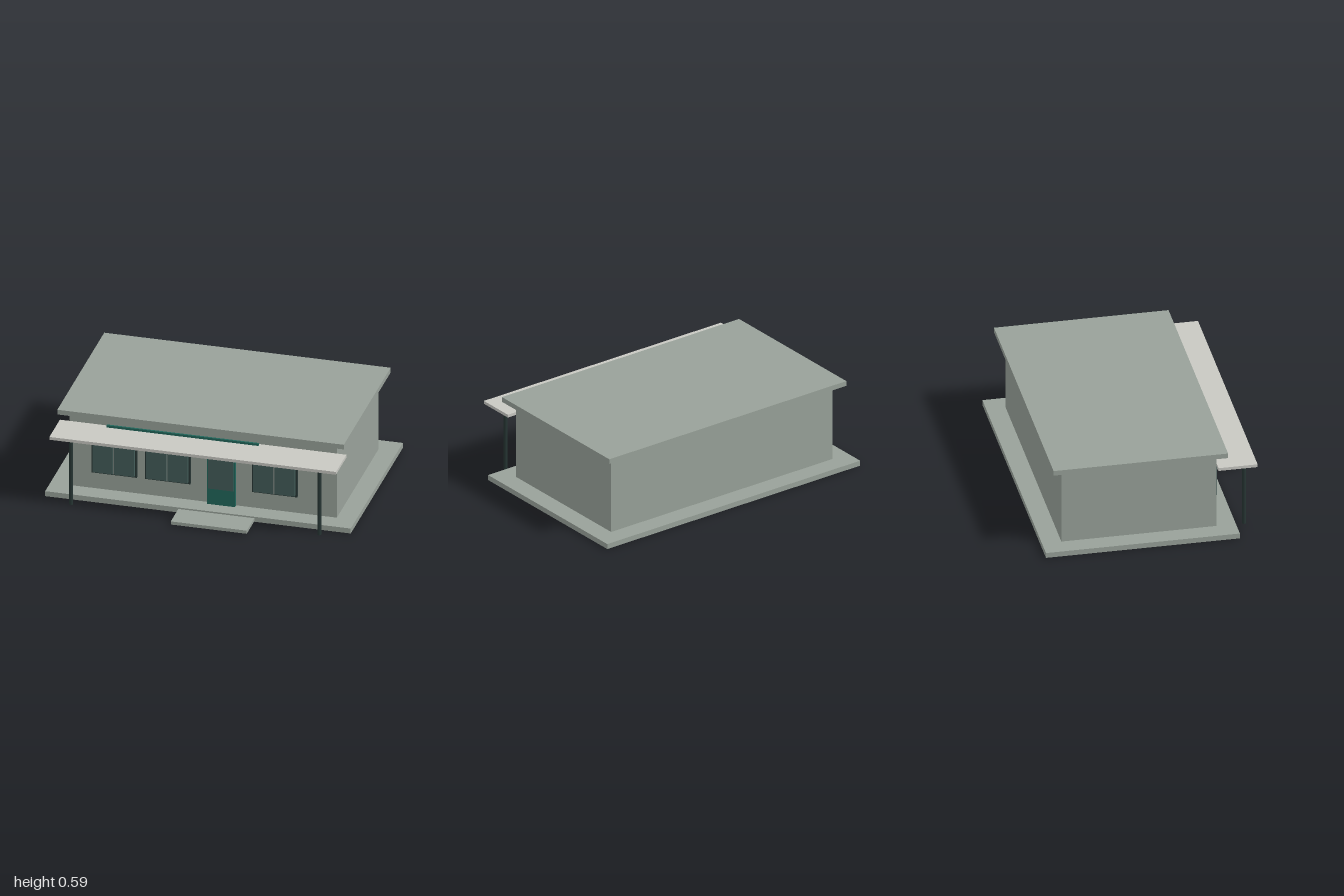
import * as THREE from 'three';

const paint = (name, color) => {
  const m = new THREE.MeshStandardMaterial({ color });
  m.name = name;
  return m;
};

export function createModel() {
  const house = new THREE.Group();
  house.name = 'house';

  const concrete = paint('grey concrete', 0x98a199);
  const canopyPaint = paint('pale canopy', 0xc8c8c2);
  const dark = paint('dark metal', 0x263533);
  const teal = paint('teal', 0x20655a);
  const glass = paint('tinted glass', 0x435c59);
  const trim = paint('mullion grey', 0x77837e);

  // Box given by its extents on each axis
  const box = (name, material, [x0, x1], [y0, y1], [z0, z1], parent = house) => {
    const mesh = new THREE.Mesh(new THREE.BoxGeometry(x1 - x0, y1 - y0, z1 - z0), material);
    mesh.position.set((x0 + x1) / 2, (y0 + y1) / 2, (z0 + z1) / 2);
    mesh.name = name;
    parent.add(mesh);
    return mesh;
  };

  // Main masses
  box('foundation', concrete, [-1, 1], [0, 0.035], [-0.722, 0.528]);
  box('walls', concrete, [-0.875, 0.875], [0.035, 0.555], [-0.597, 0.403]);
  box('roof', concrete, [-0.9375, 0.9375], [0.555, 0.588], [-0.66, 0.465]);
  box('frontStep', concrete, [-0.125, 0.372], [0.009, 0.031], [0.54, 0.722]);

  // Porch canopy on two round posts
  box('canopy', canopyPaint, [-0.9375, 0.9375], [0.468, 0.488], [0.403, 0.655]);
  for (const side of [-1, 1]) {
    const post = new THREE.Mesh(new THREE.CylinderGeometry(0.0125, 0.0125, 0.468, 12), dark);
    post.position.set(side * 0.8125, 0.234, 0.593);
    post.name = side < 0 ? 'rightPost' : 'leftPost';
    house.add(post);
  }

  // Fascia board above the openings
  box('fasciaBoard', teal, [-0.625, 0.37], [0.428, 0.503], [0.418, 0.431]);

  // Door with upper glass
  const door = new THREE.Group();
  door.name = 'door';
  house.add(door);
  box('doorPanel', teal, [0.032, 0.215], [0.035, 0.376], [0.403, 0.43], door);
  box('doorGlass', glass, [0.042, 0.205], [0.147, 0.367], [0.43, 0.436], door);

  // Two-pane windows
  [-0.5775, -0.2275, 0.4725].forEach((x, i) => {
    const win = new THREE.Group();
    win.name = 'window' + (i + 1);
    house.add(win);
    box('windowFrame', dark, [x - 0.148, x + 0.148], [0.153, 0.401], [0.403, 0.422], win);
    box('mullion', trim, [x - 0.005, x + 0.005], [0.165, 0.389], [0.422, 0.436], win);
    for (const s of [-1, 1]) {
      const edges = [x + s * 0.005, x + s * 0.136].sort((a, b) => a - b);
      box('windowPane', glass, edges, [0.165, 0.389], [0.422, 0.439], win);
    }
  });

  return house;
}
